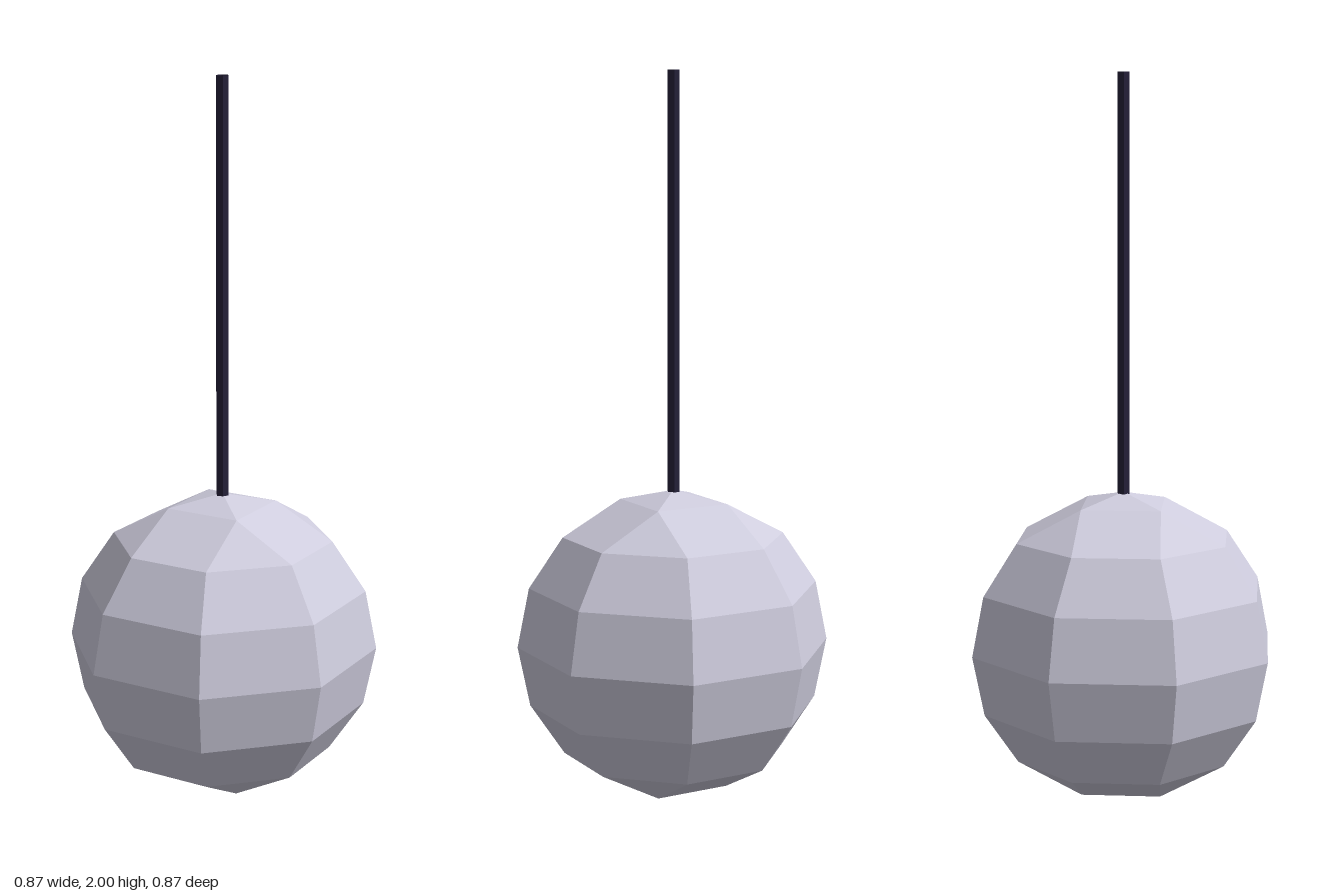
import * as THREE from 'three';

const RADIUS = 0.433;
const STEP = Math.PI / 4;

// Eight-sided ball whose rings next to the poles are merged pairwise into four corners
function ballGeometry() {
  const geo = new THREE.SphereGeometry(RADIUS, 8, 8).toNonIndexed();
  const pos = geo.attributes.position;
  const capRing = RADIUS * Math.sin(Math.PI / 8);
  for (let i = 0; i < pos.count; i++) {
    const x = pos.getX(i), z = pos.getZ(i);
    if (Math.abs(Math.hypot(x, z) - capRing) > 0.01) continue;
    const side = Math.round(Math.atan2(z, x) / STEP);
    const angle = (Math.floor(side / 2) * 2 + 0.5) * STEP;
    const r = capRing * Math.cos(STEP / 2);
    pos.setX(i, r * Math.cos(angle));
    pos.setZ(i, r * Math.sin(angle));
  }

  // Keep only the triangles that did not collapse in the merge
  const kept = [];
  const tri = new THREE.Triangle();
  for (let i = 0; i < pos.count; i += 3) {
    tri.setFromAttributeAndIndices(pos, i, i + 1, i + 2);
    if (tri.getArea() > 1e-6) kept.push(tri.a.clone(), tri.b.clone(), tri.c.clone());
  }
  const out = new THREE.BufferGeometry().setFromPoints(kept);
  out.computeVertexNormals();
  return out;
}

export function createModel() {
  const model = new THREE.Group();
  model.name = 'hangingBall';

  // Faceted ball
  const ball = new THREE.Mesh(
    ballGeometry(),
    new THREE.MeshStandardMaterial({ color: 0xceccdd, flatShading: true })
  );
  ball.name = 'ball';
  ball.position.y = RADIUS;
  model.add(ball);

  // Open six-sided cord rising from the top of the ball
  const bottom = 2 * RADIUS - 0.005, top = 2;
  const cord = new THREE.Mesh(
    new THREE.CylinderGeometry(0.018, 0.018, top - bottom, 6, 1, true),
    new THREE.MeshStandardMaterial({ color: 0x25213a, flatShading: true, side: THREE.DoubleSide })
  );
  cord.name = 'cord';
  cord.position.y = (top + bottom) / 2;
  model.add(cord);

  return model;
}
